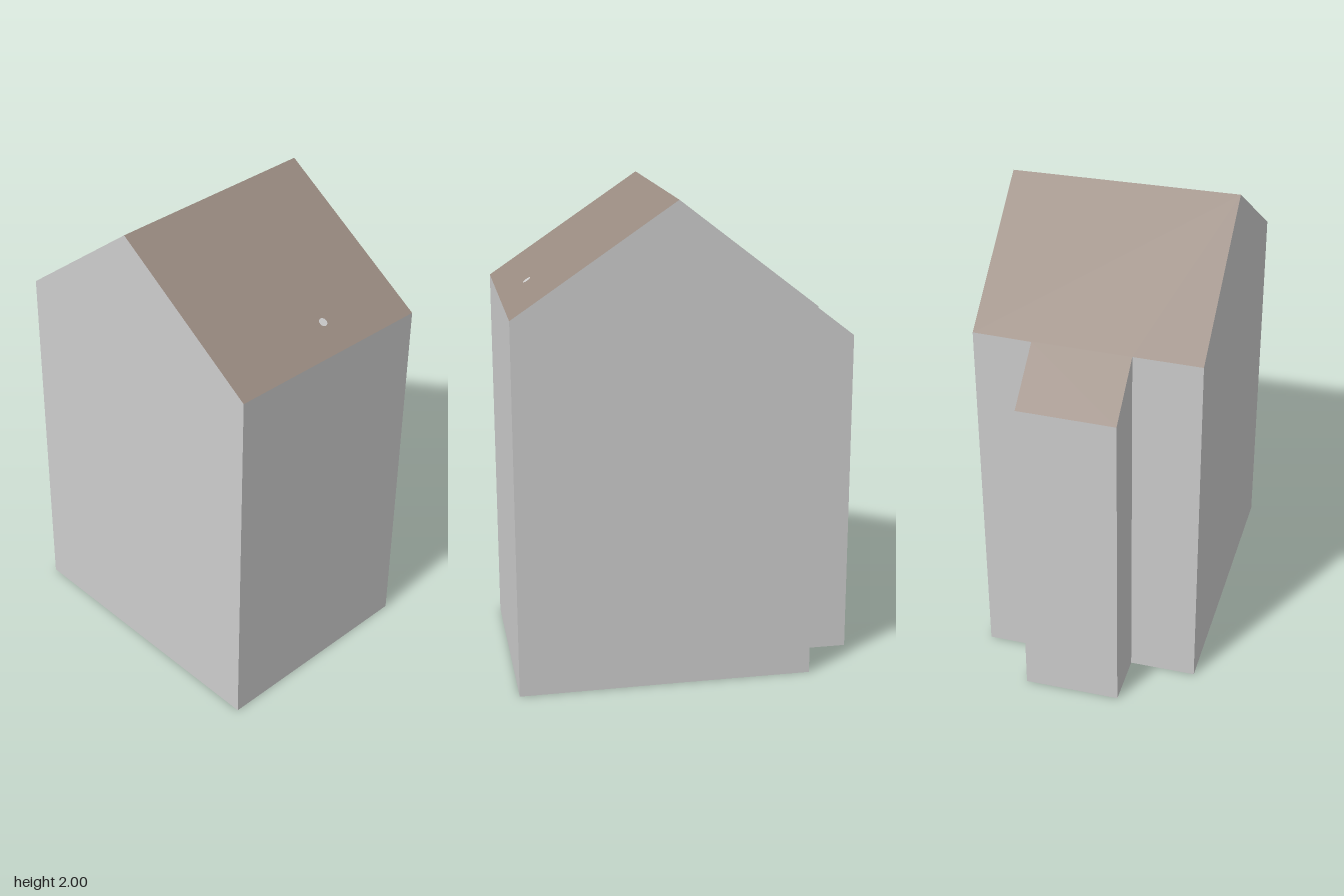
import * as THREE from 'three';

const wallMat = new THREE.MeshStandardMaterial({ color: 0xcccccc });
wallMat.name = 'light grey wall';
const roofMat = new THREE.MeshStandardMaterial({ color: 0x998a80 });
roofMat.name = 'brown roof';

// Slightly skewed ridge and the two roof planes falling from it
const ridgeX = (z) => 0.043 - 0.0379 * (z - 0.453);
const roofY = (x, z) => {
  const d = x - ridgeX(z);
  return 2 - (d < 0 ? -0.776 * d : 0.671 * d);
};

// Footprint [x, z], counter-clockwise from above; ridge ends are included
const footprint = [
  [-0.53, 0.417], [ridgeX(0.453), 0.453], [0.687, 0.492], [0.737, -0.443], [ridgeX(-0.47), -0.47],
  [-0.48, -0.498], [-0.495, -0.26], [-0.718, -0.272], [-0.74, 0.127], [-0.515, 0.14],
];

function mesh(name, positions, material) {
  const geo = new THREE.BufferGeometry();
  geo.setAttribute('position', new THREE.Float32BufferAttribute(positions, 3));
  geo.computeVertexNormals();
  const m = new THREE.Mesh(geo, material);
  m.name = name;
  return m;
}

// Fill an outline with triangles at height(x, z), facing up or down
function fill(outline, height, up) {
  const pts = outline.map(([x, z]) => new THREE.Vector2(x, -z));
  const out = [];
  for (const face of THREE.ShapeUtils.triangulateShape(pts, [])) {
    const ccw = THREE.ShapeUtils.area(face.map((i) => pts[i])) > 0;
    const order = ccw === up ? face : [...face].reverse();
    for (const i of order) {
      const [x, z] = outline[i];
      out.push(x, height(x, z), z);
    }
  }
  return out;
}

export function createModel() {
  const house = new THREE.Group();
  house.name = 'house';

  // Walls rise from the footprint to the roof
  const walls = [];
  footprint.forEach(([ax, az], i) => {
    const [bx, bz] = footprint[(i + 1) % footprint.length];
    const ay = roofY(ax, az), by = roofY(bx, bz);
    walls.push(ax, 0, az, bx, 0, bz, bx, by, bz);
    walls.push(ax, 0, az, bx, by, bz, ax, ay, az);
  });
  house.add(mesh('walls', walls, wallMat));
  house.add(mesh('floor', fill(footprint, () => 0, false), wallMat));

  // Roof slopes; the one at -x runs on over the annex
  const f = footprint;
  house.add(mesh('mainSlope', fill([f[1], f[2], f[3], f[4]], roofY, true), roofMat));
  house.add(mesh('annexSlope', fill([f[0], f[1], ...f.slice(4)], roofY, true), roofMat));

  // Small round vent cap lying on the main slope
  const cap = new THREE.Mesh(new THREE.CircleGeometry(0.018, 12), wallMat);
  cap.name = 'ventCap';
  const normal = new THREE.Vector3(0.671, 1, 0.0254).normalize();
  cap.quaternion.setFromUnitVectors(new THREE.Vector3(0, 0, 1), normal);
  cap.position.set(0.605, roofY(0.605, -0.046), -0.046).addScaledVector(normal, 0.003);
  house.add(cap);

  return house;
}
